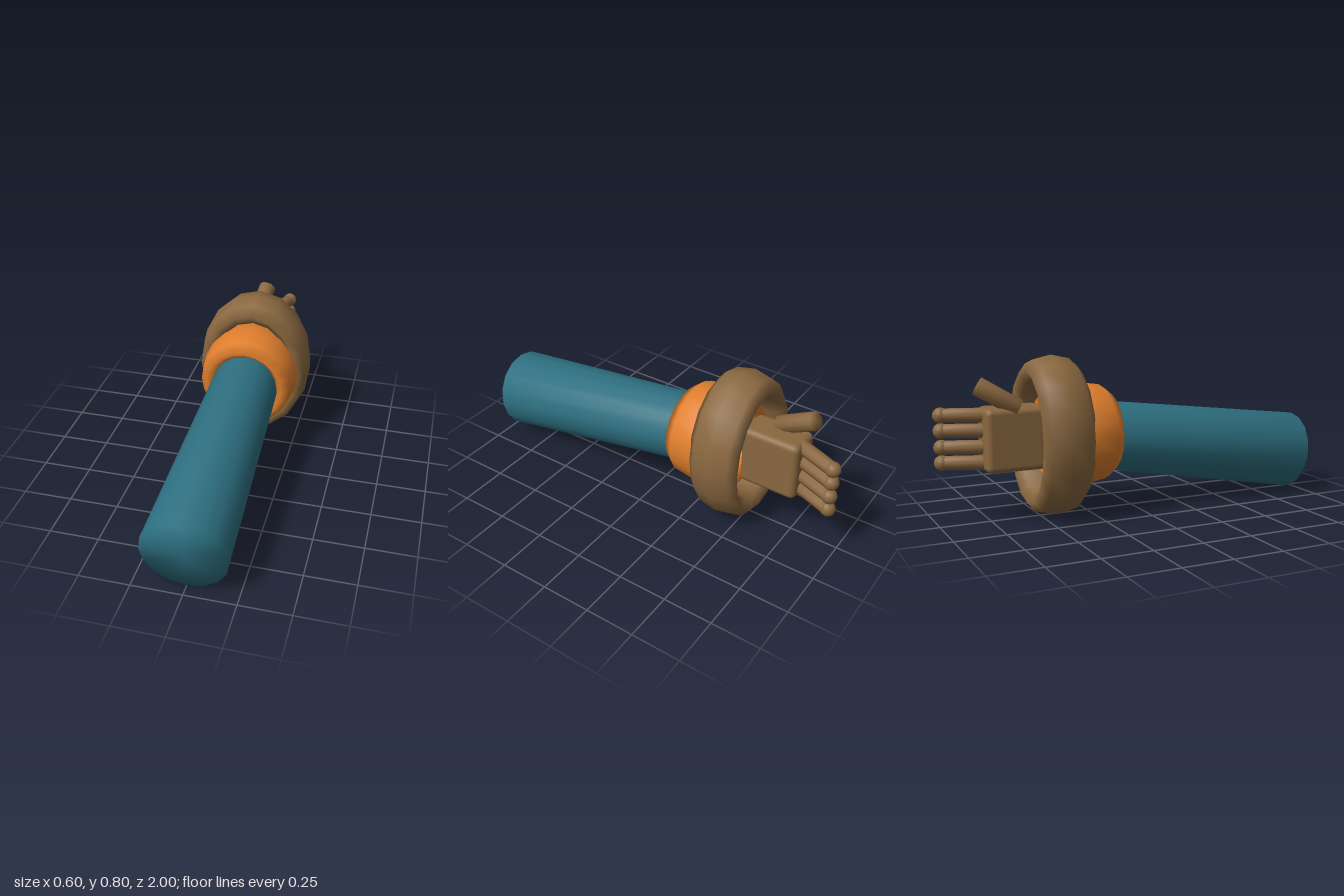
import * as THREE from 'three';
import { RoundedBoxGeometry } from 'three/addons/geometries/RoundedBoxGeometry.js';

const paint = (name, color) => {
  const m = new THREE.MeshStandardMaterial({ color });
  m.name = name;
  return m;
};

export function createModel() {
  const teal = paint('sleeve teal', 0x2d6f80);
  const orange = paint('cuff orange', 0xe07f2e);
  const brown = paint('glove brown', 0x8a6840);
  const model = new THREE.Group();
  model.name = 'gauntletArm';

  const add = (name, geometry, material, x, y, z) => {
    const mesh = new THREE.Mesh(geometry, material);
    mesh.name = name;
    mesh.position.set(x, y, z);
    model.add(mesh);
    return mesh;
  };

  // Capped, softly shaded tapered rod running from point a to point b
  const rod = (name, material, a, b, rA, rB, sides) => {
    const from = new THREE.Vector3(...a);
    const dir = new THREE.Vector3(...b).sub(from);
    const h = dir.length();
    const profile = [[0, 0], [rA, 0], [rB, h], [0, h]].map(p => new THREE.Vector2(...p));
    const mesh = add(name, new THREE.LatheGeometry(profile, sides), material, ...a);
    mesh.quaternion.setFromUnitVectors(new THREE.Vector3(0, 1, 0), dir.normalize());
    return mesh;
  };

  // Sleeve, rising toward the wrist
  rod('sleeve', teal, [0, 0.21, 0.97], [0, 0.406, -0.325], 0.208, 0.17, 16);

  // Cuff and the large oval wrist ring, both stretched along z
  add('cuff', new THREE.TorusGeometry(0.2, 0.057, 8, 20), orange, 0, 0.4, -0.3).scale.z = 3;
  add('wristRing', new THREE.TorusGeometry(0.328, 0.07, 8, 16), brown, 0, 0.4, -0.432)
    .scale.set(0.76, 1, 1.9);

  // Palm
  add('palm', new RoundedBoxGeometry(0.176, 0.31, 0.3, 2, 0.03), brown, 0, 0.405, -0.635);

  // Four fingers with ball tips, angled sideways
  [0.524, 0.449, 0.369, 0.294].forEach((y, i) => {
    rod(`finger${i + 1}`, brown, [0, y, -0.75], [0.083, y, -0.96], 0.036, 0.034, 10);
    add(`fingerTip${i + 1}`, new THREE.SphereGeometry(0.038, 10, 8), brown, 0.083, y, -0.96);
  });

  // Thumb, rising from the top of the palm
  rod('thumb', brown, [-0.055, 0.555, -0.62], [-0.022, 0.667, -0.807], 0.045, 0.046, 10);

  return model;
}
